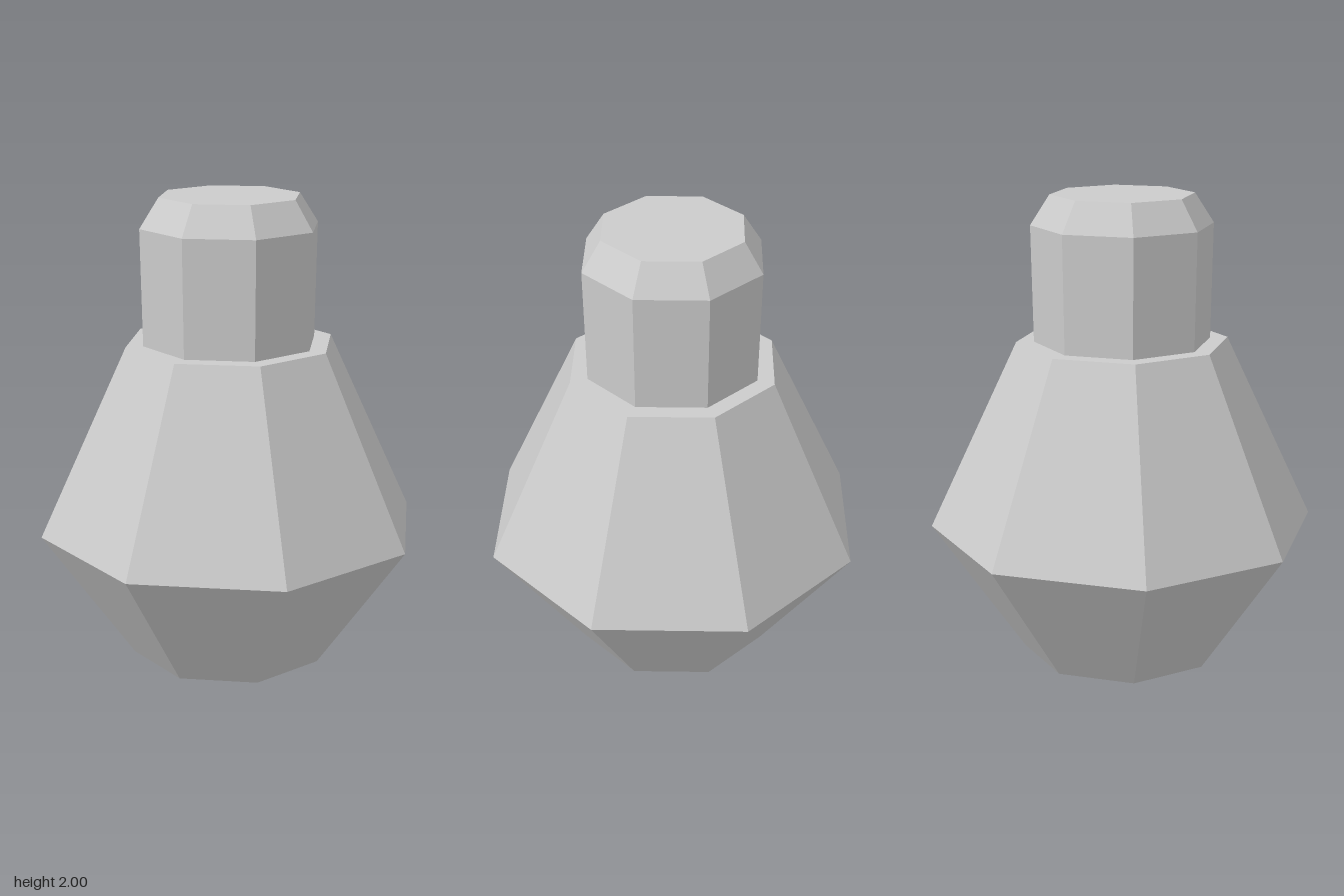
import * as THREE from 'three';

const SIDES = 8;

// Faceted turned part from [radius, height] points, listed bottom to top
function turned(name, profile, material) {
  const points = profile.map(([r, y]) => new THREE.Vector2(r, y));
  const mesh = new THREE.Mesh(new THREE.LatheGeometry(points, SIDES), material);
  mesh.name = name;
  return mesh;
}

export function createModel() {
  const group = new THREE.Group();
  group.name = 'flask';
  const material = new THREE.MeshStandardMaterial({ color: 0xcccccc, flatShading: true });

  // Closed body: base, widest ring, flat shoulder
  group.add(turned('body', [[0, 0], [0.435, 0], [0.83, 0.58], [0.45, 1.385], [0, 1.385]], material));

  // Stopper standing on the shoulder, slightly flared with a bevelled top
  group.add(turned('stopper', [[0.375, 1.385], [0.383, 1.875], [0.302, 2], [0, 2]], material));

  return group;
}
